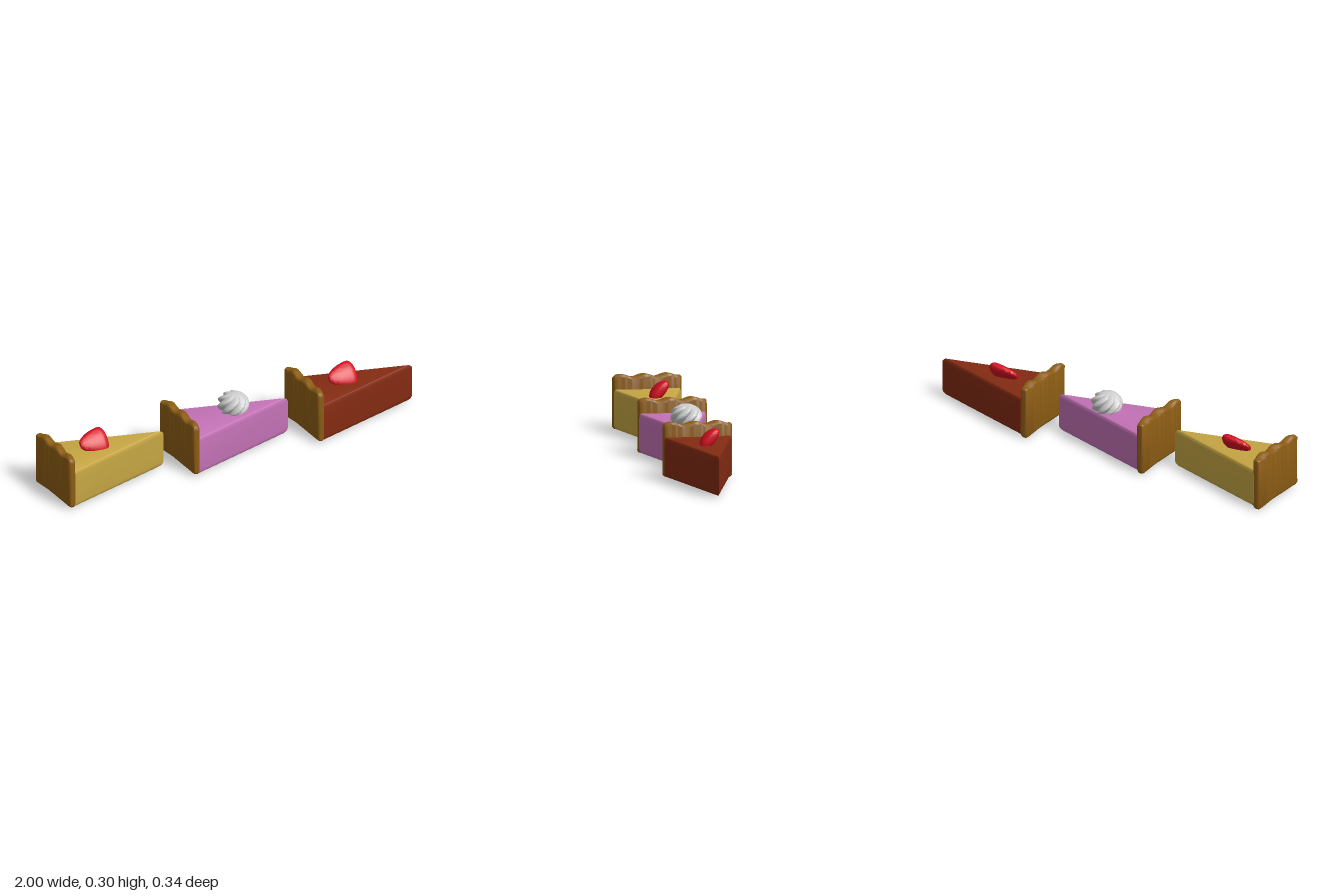
import * as THREE from 'three';
import { toCreasedNormals } from 'three/addons/utils/BufferGeometryUtils.js';

// Skin closed rings of [x, y, z] points, each counter-clockwise seen from the next ring; both ends capped.
function loft(rings, crease) {
  const n = rings[0].length;
  const points = rings.flat();
  const index = [];
  for (let i = 0; i < rings.length - 1; i++) {
    for (let j = 0; j < n; j++) {
      const a = i * n + j, b = i * n + (j + 1) % n;
      index.push(a, b, b + n, a, b + n, a + n);
    }
  }
  const last = (rings.length - 1) * n;
  const centre = (ring) => [0, 1, 2].map((k) => ring.reduce((s, p) => s + p[k], 0) / n);
  points.push(centre(rings[0]), centre(rings[rings.length - 1]));
  for (let j = 0; j < n; j++) {
    const k = (j + 1) % n;
    index.push(k, j, last + n, last + j, last + k, last + n + 1);
  }
  const geo = new THREE.BufferGeometry();
  geo.setAttribute('position', new THREE.Float32BufferAttribute(points.flat(), 3));
  geo.setIndex(index);
  return toCreasedNormals(geo, crease);
}

const smoothProfile = (pts, n) =>
  new THREE.SplineCurve(pts.map((p) => new THREE.Vector2(...p))).getPoints(n);
const ringOf = (n, fn) => Array.from({ length: n }, (_, j) => fn((j / n) * Math.PI * 2));

// Wedge of filling: triangle with top and bottom edges rounded over
function fillingGeometry() {
  const back = -0.96, length = 0.58, half = 0.165, r = 0.025, steps = 6;
  const ring = (y, s) => [
    [back + length * s, y - 0.004, 0],
    [back, y, -half * s],
    [back, y, half * s],
  ];
  const rings = [];
  for (const [y, from] of [[0.012 + r, -Math.PI / 2], [0.207 - r, 0]]) {
    for (let i = 0; i <= steps; i++) {
      const a = from + (i / steps) * Math.PI / 2;
      rings.push(ring(y + r * Math.sin(a), 1 - 0.055 * (1 - Math.cos(a))));
    }
  }
  return loft(rings, 0.6);
}

// Upright crust: rounded slab with a wavy rim
function crustGeometry() {
  const rings = [], half = 0.17, r = 0.016, count = 56;
  for (let i = 0; i <= count; i++) {
    const z = -half * Math.cos((i / count) * Math.PI);
    const edge = Math.max(0, (Math.abs(z) - half + r) / r);
    const inset = 0.012 * (1 - Math.sqrt(Math.max(0, 1 - edge * edge)));
    const t = (z + half) / (2 * half);
    const x0 = -1 + 0.008 * t + inset;
    const x1 = -0.945 - 0.014 * (z / half) ** 2 - inset;
    const y0 = 0.01 * THREE.MathUtils.smoothstep(t, 0, 0.4) + inset;
    const y1 = 0.274 - inset;
    const ring = [];
    [[x1, y1], [x0, y1], [x0, y0], [x1, y0]].forEach(([x, y], c) => {
      const sx = c === 0 || c === 3 ? 1 : -1, sy = c < 2 ? 1 : -1;
      for (let k = 0; k <= 4; k++) {
        const a = (c + k / 4) * Math.PI / 2;
        const px = x - sx * r + r * Math.cos(a);
        let py = y - sy * r + r * Math.sin(a);
        if (c < 2) py += 0.007 * Math.cos((z - 0.015) * 55 + (px + 0.97) * 30);
        ring.push([px, py, z]);
      }
    });
    rings.push(ring);
  }
  return loft(rings, 0.8);
}

// Flattened berry lying on its side, pointed towards -x
function berryGeometry() {
  const profile = smoothProfile([
    [-0.836, 0.02], [-0.83, 0.33], [-0.8, 0.66], [-0.765, 0.87], [-0.73, 0.99],
    [-0.71, 0.98], [-0.695, 0.76], [-0.689, 0.42], [-0.688, 0.02],
  ], 32);
  const tilt = 0.84, cos = Math.cos(tilt), sin = Math.sin(tilt);
  return loft(profile.map((p) => ringOf(32, (a) => {
    const u = 0.065 * p.y * Math.cos(a), v = 0.028 * p.y * Math.sin(a);
    return [p.x, 0.233 + u * sin + v * cos, -0.014 - u * cos + v * sin];
  })), 1.2);
}

// Piped cream: fluted dome twisted as it rises
function creamGeometry() {
  const profile = smoothProfile([
    [0.056, 0.198], [0.07, 0.213], [0.077, 0.237], [0.072, 0.26],
    [0.056, 0.28], [0.03, 0.294], [0.001, 0.3],
  ], 30);
  return loft(profile.map((p, i) => ringOf(84, (a) => {
    const flute = Math.abs(Math.sin(a * 3.5));
    const r = p.x * (0.76 + 0.26 * flute);
    const b = a + (i / 30) * 2.2;
    return [-0.675 + r * Math.cos(b), p.y, -0.015 - r * Math.sin(b)];
  })).map((ring, i) => (i % 1 ? [] : ring.map(([x, y, z]) => [x, y, z]))), 0.7);
}

export function createModel() {
  const model = new THREE.Group();
  model.name = 'pieSlices';
  const material = (color) => new THREE.MeshStandardMaterial({ color });
  const crustMat = material(0x8c5c14), berryMat = material(0xd40f20), creamMat = material(0xe8e8e8);
  const crust = crustGeometry(), filling = fillingGeometry();
  const berry = berryGeometry(), cream = creamGeometry();

  const slices = [
    ['custardSlice', 0xc6a644, 'berry', berry, berryMat],
    ['pinkSlice', 0xc472b6, 'whippedCream', cream, creamMat],
    ['chocolateSlice', 0x842b12, 'berry', berry, berryMat],
  ];
  slices.forEach(([name, color, toppingName, topping, toppingMat], i) => {
    const slice = new THREE.Group();
    slice.name = name;
    const add = (part, geo, mat) => {
      const mesh = new THREE.Mesh(geo, mat);
      mesh.name = part;
      slice.add(mesh);
    };
    add('crust', crust, crustMat);
    add('filling', filling, material(color));
    add(toppingName, topping, toppingMat);
    slice.position.x = i * 0.69;
    model.add(slice);
  });
  return model;
}
